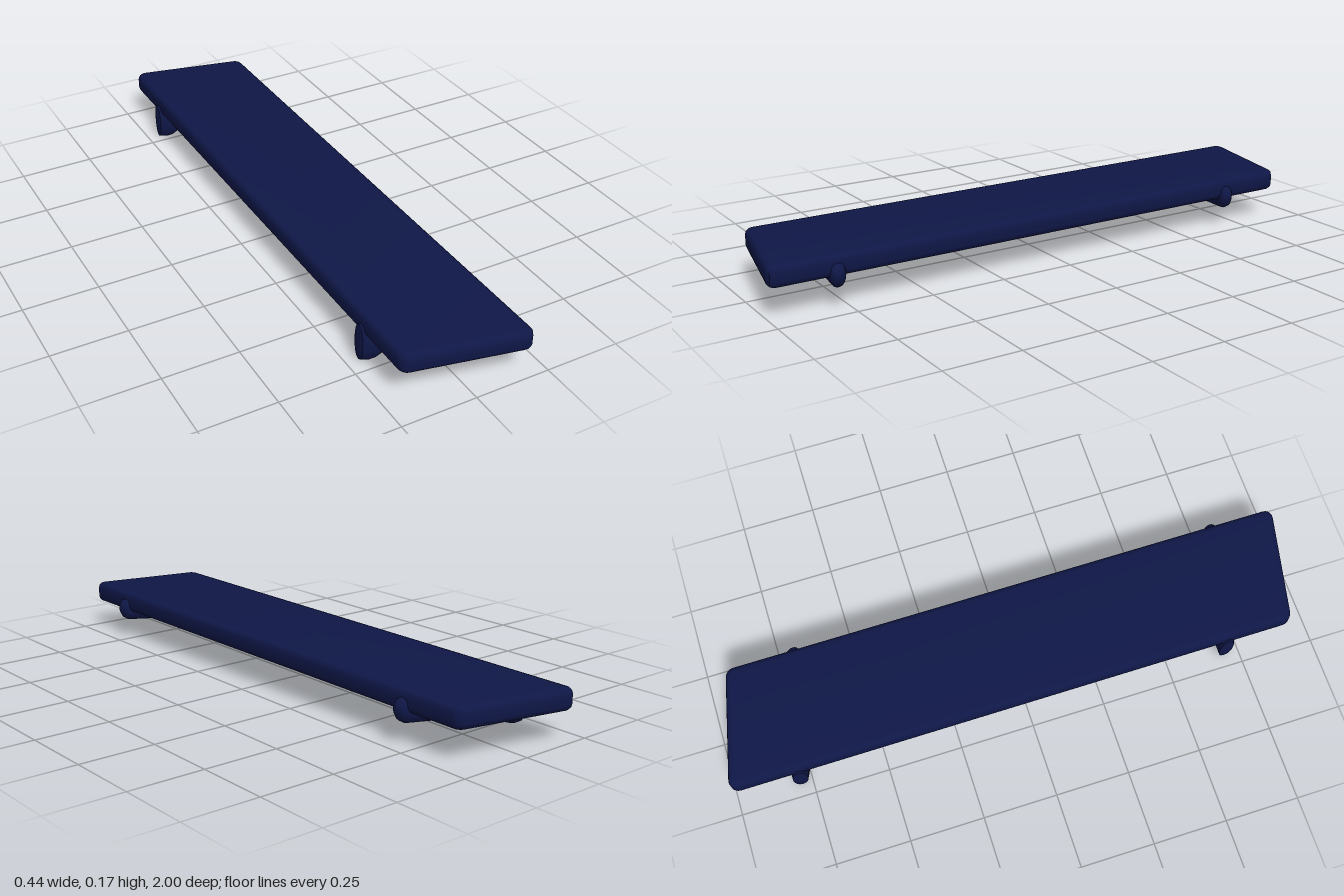
import * as THREE from 'three';
import { toCreasedNormals, mergeVertices } from 'three/addons/utils/BufferGeometryUtils.js';

const SKEW = 0.215; // z shift per unit of x
const material = new THREE.MeshStandardMaterial({ color: 0x0f1747 });

// Closed polygon with softened corners
function roundedShape(points, radius) {
  const shape = new THREE.Shape();
  points.forEach((p, i) => {
    const prev = points[(i + points.length - 1) % points.length];
    const next = points[(i + 1) % points.length];
    const a = p.clone().add(prev.clone().sub(p).setLength(radius));
    const b = p.clone().add(next.clone().sub(p).setLength(radius));
    if (i === 0) shape.moveTo(a.x, a.y);
    else shape.lineTo(a.x, a.y);
    shape.quadraticCurveTo(p.x, p.y, b.x, b.y);
  });
  shape.closePath();
  return shape;
}

// Skewed slab with rounded rim
function createBoard() {
  const bevel = 0.02, bottom = 0.098, top = 0.169;
  const x0 = -0.203 + bevel, x1 = 0.196 - bevel, halfZ = 0.961 - bevel;
  const corner = (x, side) => new THREE.Vector2(x, side * halfZ + SKEW * x);
  const shape = roundedShape([corner(x0, -1), corner(x1, -1), corner(x1, 1), corner(x0, 1)], 0.012);
  const geometry = new THREE.ExtrudeGeometry(shape, {
    depth: top - bottom - 2 * bevel, bevelSize: bevel, bevelThickness: bevel, bevelSegments: 3, curveSegments: 4,
  });
  geometry.rotateX(Math.PI / 2);
  geometry.translate(0, top - bevel, 0);
  const board = new THREE.Mesh(toCreasedNormals(geometry, 0.6), material);
  board.name = 'board';
  return board;
}

// Bracket arm stations: x, bottom y, top y, half width
const STATIONS = [
  [-0.210, 0.005, 0.132, 0.024], [-0.185, 0.002, 0.132, 0.030], [-0.165, 0.007, 0.130, 0.031],
  [-0.148, 0.019, 0.130, 0.031], [-0.120, 0.031, 0.130, 0.030], [-0.070, 0.041, 0.130, 0.028],
  [0.000, 0.049, 0.130, 0.027], [0.100, 0.058, 0.132, 0.027], [0.190, 0.065, 0.145, 0.027],
  [0.205, 0.074, 0.141, 0.023], [0.215, 0.092, 0.128, 0.014],
];

function createArmGeometry() {
  const sides = 16, positions = [], indices = [];
  // Rounded cross-sections
  for (const [x, low, high, half] of STATIONS) {
    for (let i = 0; i < sides; i++) {
      const a = (i / sides) * Math.PI * 2;
      const c = Math.cos(a), s = Math.sin(a);
      const y = (low + high) / 2 + s * (high - low) / 2;
      const z = Math.sign(c) * Math.pow(Math.abs(c), 0.8) * half;
      positions.push(x, y, z + SKEW * x);
    }
  }
  for (let r = 0; r < STATIONS.length - 1; r++) {
    for (let i = 0; i < sides; i++) {
      const a = r * sides + i, b = r * sides + (i + 1) % sides;
      indices.push(a, a + sides, b, b, a + sides, b + sides);
    }
  }
  // End caps, slightly domed
  const first = positions.length / 3;
  positions.push(-0.218, 0.068, -0.218 * SKEW, 0.218, 0.11, 0.218 * SKEW);
  const last = (STATIONS.length - 1) * sides;
  for (let i = 0; i < sides; i++) {
    const j = (i + 1) % sides;
    indices.push(first, i, j, first + 1, last + j, last + i);
  }
  const geometry = new THREE.BufferGeometry();
  geometry.setAttribute('position', new THREE.Float32BufferAttribute(positions, 3));
  geometry.setIndex(indices);
  return toCreasedNormals(mergeVertices(geometry), 0.8);
}

export function createModel() {
  const group = new THREE.Group();
  group.name = 'shelf';
  group.add(createBoard());

  // Two matching support arms
  const armGeometry = createArmGeometry();
  for (const [name, z] of [['frontArm', 0.742], ['backArm', -0.738]]) {
    const arm = new THREE.Mesh(armGeometry, material);
    arm.name = name;
    arm.position.z = z;
    group.add(arm);
  }
  return group;
}
